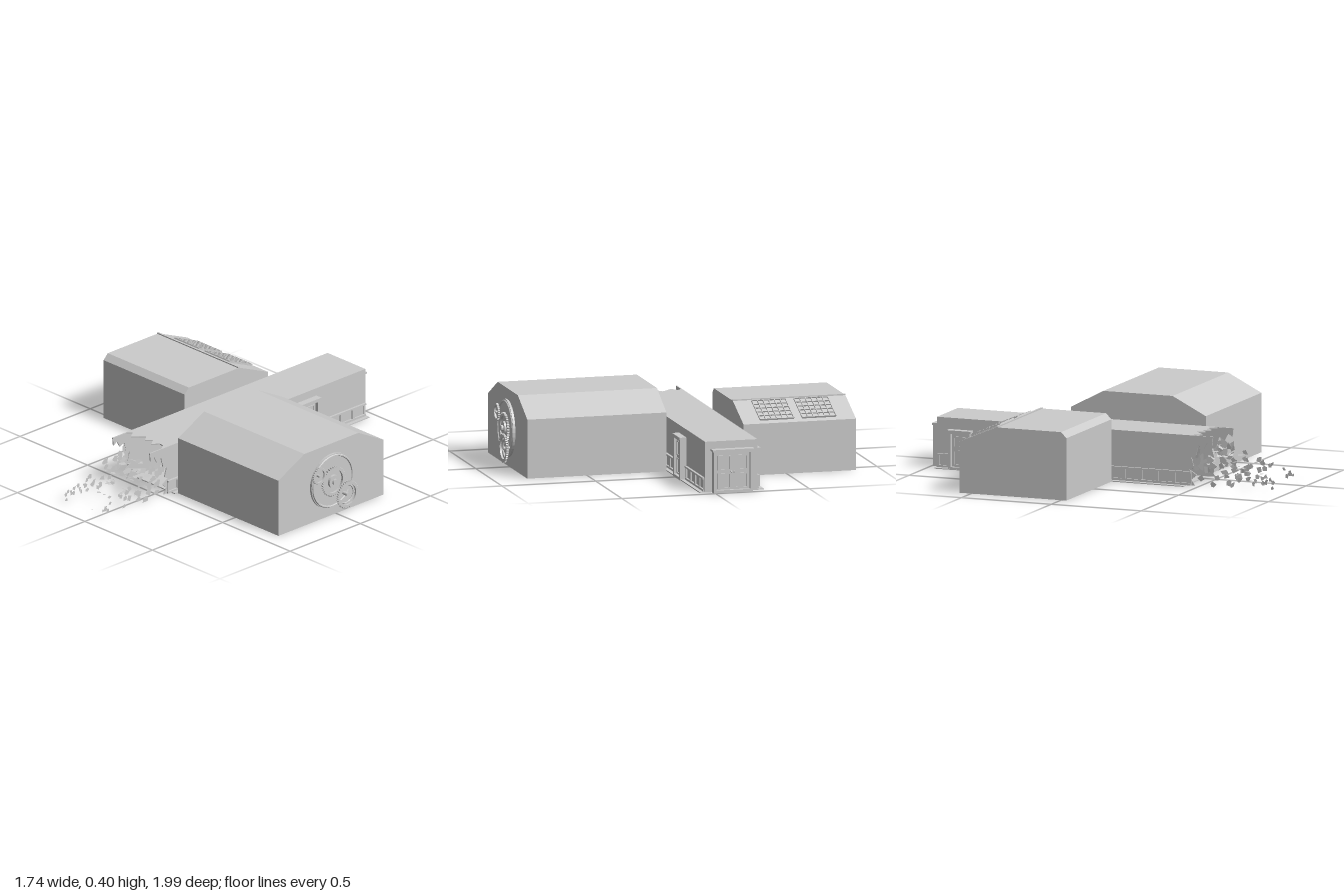
import * as THREE from 'three';
import { mergeGeometries } from 'three/addons/utils/BufferGeometryUtils.js';

const mat = new THREE.MeshStandardMaterial({ color: 0xcccccc, flatShading: true, side: THREE.DoubleSide });
const HALL = { left: -0.235, right: 0.045, top: 0.265, back: -0.955, front: 0.43 };

function add(parent, name, geo) {
  const m = new THREE.Mesh(geo, mat);
  m.name = name;
  parent.add(m);
  return m;
}

// Box from its minimum and maximum corners
function span(x0, x1, y0, y1, z0, z1) {
  return new THREE.BoxGeometry(x1 - x0, y1 - y0, z1 - z0)
    .translate((x0 + x1) / 2, (y0 + y1) / 2, (z0 + z1) / 2);
}

// Extrude a [z, y] outline along x
function prism(points, x0, x1) {
  const shape = new THREE.Shape(points.map(([z, y]) => new THREE.Vector2(-z, y)));
  return new THREE.ExtrudeGeometry(shape, { depth: x1 - x0, bevelEnabled: false })
    .rotateY(Math.PI / 2).translate(x0, 0, 0);
}

// Flat rectangular frame facing +z
function frame(x0, x1, y0, y1, z0, z1, t) {
  return mergeGeometries([
    span(x0, x0 + t, y0, y1, z0, z1), span(x1 - t, x1, y0, y1, z0, z1),
    span(x0 + t, x1 - t, y1 - t, y1, z0, z1), span(x0 + t, x1 - t, y0, y0 + t, z0, z1),
  ]);
}

// Door with casing, lintel and one or two panelled leaves, facing +z
function makeDoor(name, width, height, leaves, depth) {
  const g = new THREE.Group();
  g.name = name;
  const h = width / 2;
  add(g, 'doorCasing', frame(-h, h, 0, height, 0, depth, 0.014));
  add(g, 'doorLintel', span(-h - 0.006, h + 0.006, height - 0.004, height + 0.006, 0, depth + 0.004));
  const w = (width - 0.028) / leaves;
  for (let i = 0; i < leaves; i++) {
    const x = -h + 0.014 + i * w;
    add(g, 'doorLeaf', span(x + 0.001, x + w - 0.001, 0.005, height - 0.014, 0, depth * 0.5));
    add(g, 'lowerPanel', frame(x + 0.012, x + w - 0.012, 0.02, 0.1, depth * 0.5, depth * 0.5 + 0.005, 0.006));
    add(g, 'upperPanel', frame(x + 0.012, x + w - 0.012, 0.115, height - 0.028, depth * 0.5, depth * 0.5 + 0.005, 0.006));
    const knob = add(g, 'doorHandle', new THREE.SphereGeometry(0.005, 8, 6));
    knob.position.set(i === 0 ? x + w - 0.007 : x + 0.007, 0.107, depth * 0.5 + 0.006);
  }
  return g;
}

// Toothed ring facing +x with a central hole
function gear(radius, hole, teeth, depth) {
  const s = new THREE.Shape();
  const n = teeth * 4;
  for (let i = 0; i < n; i++) {
    const a = (i / n) * Math.PI * 2;
    const r = i % 4 < 2 ? radius : radius * 0.92;
    s[i ? 'lineTo' : 'moveTo'](Math.cos(a) * r, Math.sin(a) * r);
  }
  s.holes.push(new THREE.Path().absarc(0, 0, hole, 0, Math.PI * 2, true));
  return new THREE.ExtrudeGeometry(s, { depth, bevelEnabled: false, curveSegments: 16 }).rotateY(Math.PI / 2);
}

function disc(r, depth, seg = 40) {
  return new THREE.CylinderGeometry(r, r, depth, seg).rotateZ(Math.PI / 2);
}

function seeded(seed) {
  return () => ((seed = (seed * 16807) % 2147483647) / 2147483647);
}

function makeHall() {
  const g = new THREE.Group();
  g.name = 'hall';
  const { left, right, top, back, front } = HALL;
  add(g, 'floorPlate', span(-0.27, 0.075, 0, 0.005, back, front));
  add(g, 'backWall', span(left, right, 0.005, top, back, back + 0.008));

  // Side walls end in a broken edge
  const edge = [[0.58, top], [0.575, 0.22], [0.55, 0.235], [0.53, 0.2], [0.5, 0.215], [0.485, 0.16],
    [0.46, 0.15], [0.475, 0.1], [0.45, 0.085], [0.49, 0.06], [0.46, 0.035], [0.48, 0.005]];
  const side = [[back, 0.005], [back, top], ...edge];
  add(g, 'leftWall', prism(side, left, left + 0.006));
  add(g, 'rightWall', prism(side, right - 0.006, right));

  // Roof with a jagged front edge
  const tips = [0.49, 0.46, 0.5, 0.47, 0.445, 0.48, 0.45, 0.49, 0.455, 0.46, 0.5];
  const roof = new THREE.Shape();
  roof.moveTo(left, -back);
  tips.forEach((z, i) => roof.lineTo(left + (right - left) * i / 10, -z));
  roof.lineTo(right, -back);
  add(g, 'roof', new THREE.ExtrudeGeometry(roof, { depth: 0.006, bevelEnabled: false })
    .rotateX(-Math.PI / 2).translate(0, top - 0.006, 0));

  // Panelled wainscot along both sides, interrupted by the doors
  const runs = [
    [1, -0.95, -0.61], [1, -0.47, -0.05], [1, 0.14, 0.46],
    [-1, -0.95, -0.89], [-1, -0.75, -0.39], [-1, -0.2, 0.46]];
  for (const [s, z0, z1] of runs) {
    const x = s > 0 ? right : left;
    const bar = (y0, y1, a, b, t) => span(Math.min(x, x + s * t), Math.max(x, x + s * t), y0, y1, a, b);
    const parts = [bar(0.068, 0.077, z0, z1, 0.012), bar(0.005, 0.016, z0, z1, 0.009)];
    const n = Math.max(1, Math.round((z1 - z0) / 0.09));
    const w = (z1 - z0) / n;
    for (let i = 0; i < n; i++) {
      const a = z0 + i * w;
      parts.push(bar(0.016, 0.068, a, a + 0.01, 0.007), bar(0.016, 0.068, a + w - 0.01, a + w, 0.007));
    }
    add(g, 'wainscot', mergeGeometries(parts));
  }

  const place = (d, x, z, ry) => { d.position.set(x, 0, z); d.rotation.y = ry; g.add(d); };
  place(makeDoor('backDoubleDoor', 0.21, 0.22, 2, 0.036), -0.097, back, Math.PI);
  place(makeDoor('innerDoubleDoor', 0.235, 0.22, 2, 0.012), -0.097, back + 0.008, 0);
  place(makeDoor('rightSideDoor', 0.13, 0.218, 1, 0.034), right, -0.535, Math.PI / 2);
  place(makeDoor('leftSideDoor', 0.12, 0.2, 1, 0.034), left, -0.82, -Math.PI / 2);
  place(makeDoor('leftWingDoor', 0.17, 0.2, 1, 0.03), left, -0.295, -Math.PI / 2);
  return g;
}

function makeLeftWing() {
  const g = new THREE.Group();
  g.name = 'leftWing';
  add(g, 'leftWingShell', prism([[0.03, 0], [0.03, 0.325], [0, 0.355], [-0.36, 0.355], [-0.565, 0.268], [-0.565, 0]], -0.87, -0.27));
  add(g, 'ridgeTrim', span(-0.87, -0.27, 0.354, 0.361, -0.362, -0.352));
  // Gridded skylights lying on the rear slope
  const slope = new THREE.Group();
  slope.name = 'skylights';
  slope.position.set(0, 0.355, -0.36);
  slope.rotation.x = -Math.atan2(0.087, 0.205);
  g.add(slope);
  for (const x0 of [-0.77, -0.545]) {
    const w = 0.18, z0 = -0.195, z1 = -0.018, t = 0.004;
    const parts = [];
    for (let i = 0; i <= 6; i++) {
      const x = x0 + (w * i) / 6;
      parts.push(span(x - t / 2, x + t / 2, 0.004, 0.011, z0, z1));
    }
    for (let i = 0; i <= 5; i++) {
      const z = z0 + ((z1 - z0) * i) / 5;
      parts.push(span(x0, x0 + w, 0.004, 0.011, z - t / 2, z + t / 2));
    }
    add(slope, 'skylightGrid', mergeGeometries(parts));
    add(slope, 'skylightPane', span(x0, x0 + w, 0, 0.003, z0, z1));
  }
  return g;
}

function makeRightWing() {
  const g = new THREE.Group();
  g.name = 'rightWing';
  add(g, 'rightWingShell', prism([[0.41, 0], [0.41, 0.31], [0.225, 0.403], [-0.16, 0.403], [-0.34, 0.308], [-0.34, 0]], 0.078, 0.82));
  add(g, 'hallHatch', disc(0.085, 0.034)).position.set(0.061, 0.163, 0.045);

  // Layered round gate with two loose cog wheels
  const at = (name, geo, x, y, z) => add(g, name, geo).position.set(x, y, z);
  const y = 0.197, z = 0.035;
  at('gateDisc', disc(0.15, 0.012), 0.826, y, z);
  at('gateRim', new THREE.TorusGeometry(0.14, 0.006, 6, 40).rotateY(Math.PI / 2), 0.832, y, z);
  at('gateCog', gear(0.082, 0.062, 36, 0.012), 0.832, y, z);
  at('gateHub', disc(0.035, 0.016, 24), 0.838, y, z);
  at('gateHubCap', disc(0.016, 0.026, 16), 0.843, y, z);
  at('upperCog', gear(0.046, 0.034, 24, 0.01), 0.842, 0.262, 0.145);
  at('upperCogAxle', disc(0.007, 0.028, 12), 0.842, 0.262, 0.145);
  at('lowerCog', gear(0.076, 0.056, 36, 0.01), 0.858, 0.107, -0.042);
  at('lowerCogRing', new THREE.TorusGeometry(0.05, 0.004, 6, 32).rotateY(Math.PI / 2), 0.852, 0.107, -0.042);
  at('lowerCogAxle', disc(0.009, 0.04, 12), 0.845, 0.107, -0.042);
  return g;
}

// Shards of wall, roof and floor scattering from the broken end
function makeDebris() {
  const rnd = seeded(4217);
  const parts = [];
  const e = new THREE.Euler();
  const shard = (r, rx, ry, x, y, z) => {
    const n = 4 + Math.floor(rnd() * 2);
    const pos = [];
    const pts = Array.from({ length: n }, (_, i) => {
      const a = ((i + rnd() * 0.6) / n) * Math.PI * 2;
      const k = r * (0.55 + rnd() * 0.6);
      return new THREE.Vector3(Math.cos(a) * k, Math.sin(a) * k, 0).applyEuler(e.set(rx, ry, 0));
    });
    for (let i = 1; i < n - 1; i++) for (const p of [pts[0], pts[i], pts[i + 1]]) {
      pos.push(p.x + x, Math.max(0.002, p.y + y), p.z + z);
    }
    parts.push(new THREE.BufferGeometry().setAttribute('position', new THREE.Float32BufferAttribute(pos, 3)));
  };
  for (const x of [HALL.left, HALL.right]) {
    for (let i = 0; i < 44; i++) {
      const t = Math.pow(rnd(), 1.5);
      shard(0.025 - 0.014 * t, 0, Math.PI / 2 + (rnd() - 0.5) * 0.3, x - Math.sign(x) * 0.004,
        0.015 + rnd() * (0.22 - 0.15 * t) * (1 - 0.4 * t), 0.48 + 0.44 * t);
    }
  }
  for (let i = 0; i < 34; i++) {
    const t = Math.pow(rnd(), 1.4);
    shard(0.026 - 0.012 * t, Math.PI / 2 + (rnd() - 0.5) * 1.2, 0, HALL.left + 0.02 + rnd() * 0.24,
      0.02 + (0.19 - 0.14 * t) * (0.3 + 0.7 * rnd()), 0.51 + 0.29 * t);
  }
  shard(0.006, Math.PI / 2, 0, HALL.right, 0.08, 0.99);
  const geo = mergeGeometries(parts);
  geo.computeVertexNormals();
  return geo;
}

export function createModel() {
  const model = new THREE.Group();
  model.name = 'crossShapedBuilding';
  model.add(makeHall(), makeLeftWing(), makeRightWing());
  add(model, 'debris', makeDebris());
  return model;
}
